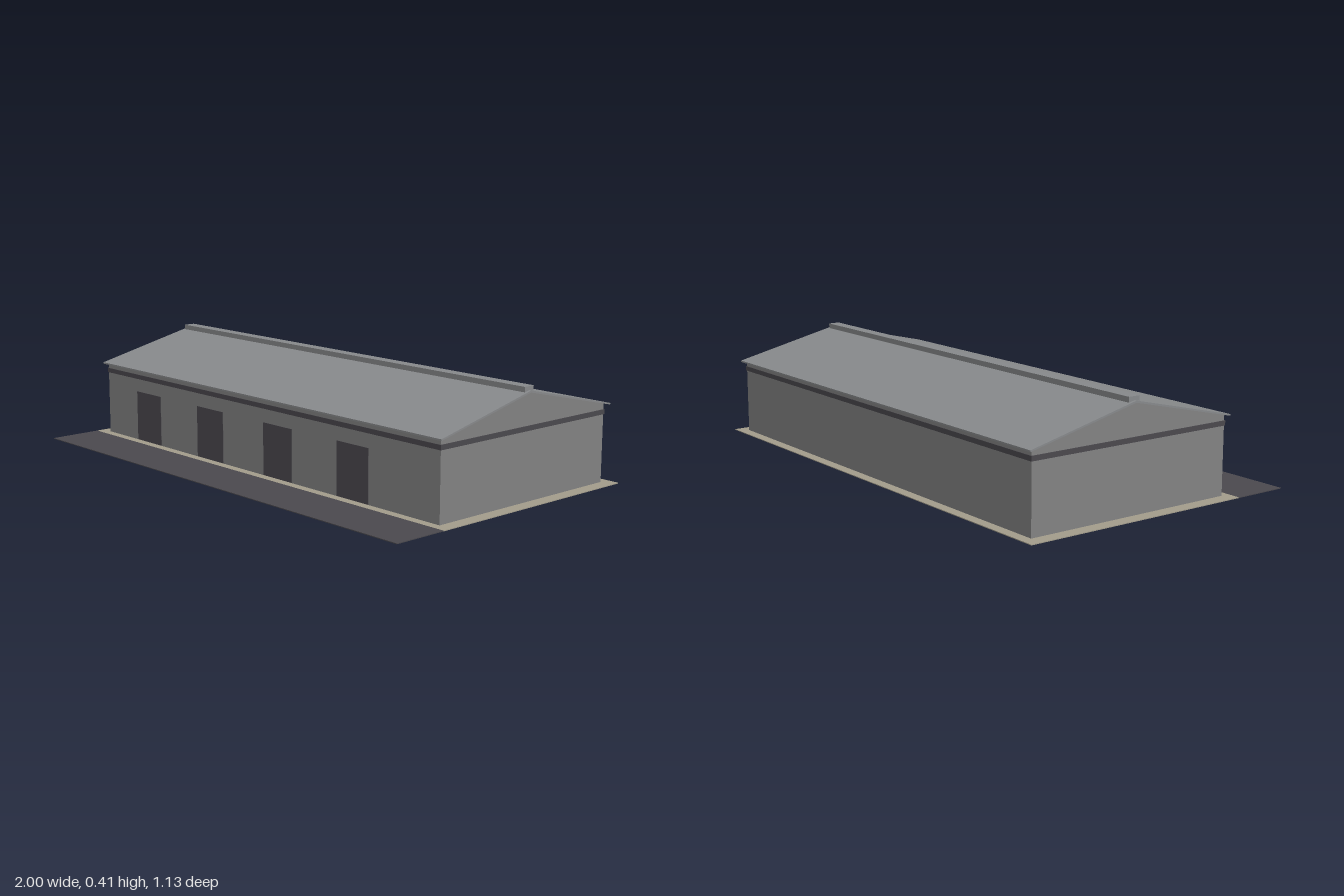
import * as THREE from 'three';

const material = (name, color) => {
  const m = new THREE.MeshStandardMaterial({ color });
  m.name = name;
  return m;
};

export function createModel() {
  const group = new THREE.Group();
  group.name = 'warehouse';

  const wallGrey = material('wall grey', 0x838383);
  const roofGrey = material('roof grey', 0x888a8c);
  const darkGrey = material('dark grey', 0x4b494e);
  const sand = material('sand', 0xa39d8c);

  const add = (name, geometry, mat) => {
    const mesh = new THREE.Mesh(geometry, mat);
    mesh.name = name;
    group.add(mesh);
    return mesh;
  };

  // Box given by its minimum and maximum corners
  const box = (name, mat, [x0, y0, z0], [x1, y1, z1]) => {
    const mesh = add(name, new THREE.BoxGeometry(x1 - x0, y1 - y0, z1 - z0), mat);
    mesh.position.set((x0 + x1) / 2, (y0 + y1) / 2, (z0 + z1) / 2);
  };

  // Profile of [z, y] points swept along x, centred on x = 0
  const sweep = (name, mat, points, length) => {
    const shape = new THREE.Shape(points.map(([z, y]) => new THREE.Vector2(-z, y)));
    const geometry = new THREE.ExtrudeGeometry(shape, { depth: length, bevelEnabled: false });
    geometry.translate(0, 0, -length / 2).rotateY(Math.PI / 2);
    add(name, geometry, mat);
  };

  const front = 0.318, back = -0.531, ridge = -0.107;

  // Ground: yard slab and the road in front
  box('yard', sand, [-1, 0, -0.57], [1, 0.003, 0.352]);
  box('road', darkGrey, [-1, 0, 0.352], [1, 0.003, 0.565]);

  // Walls with both gables in one solid
  sweep('walls', wallGrey, [
    [front, 0.001], [back, 0.001], [back, 0.295], [ridge, 0.394], [front, 0.295],
  ], 1.9);

  // Dark band running round the building
  box('wallBand', darkGrey, [-0.953, 0.256, back - 0.003], [0.953, 0.274, front + 0.003]);

  // Thin pitched roof with overhanging eaves
  sweep('roof', roofGrey, [
    [0.333, 0.291], [ridge, 0.393], [-0.549, 0.291],
    [-0.549, 0.297], [ridge, 0.4], [0.333, 0.297],
  ], 1.932);

  // Ridge cap
  box('ridgeCap', roofGrey, [-0.956, 0.393, -0.131], [0.956, 0.414, -0.085]);

  // Doors along the front
  for (const x of [-0.667, -0.267, 0.133, 0.533]) {
    box('door', darkGrey, [x - 0.08, 0.004, front], [x + 0.08, 0.204, front + 0.002]);
  }

  return group;
}
